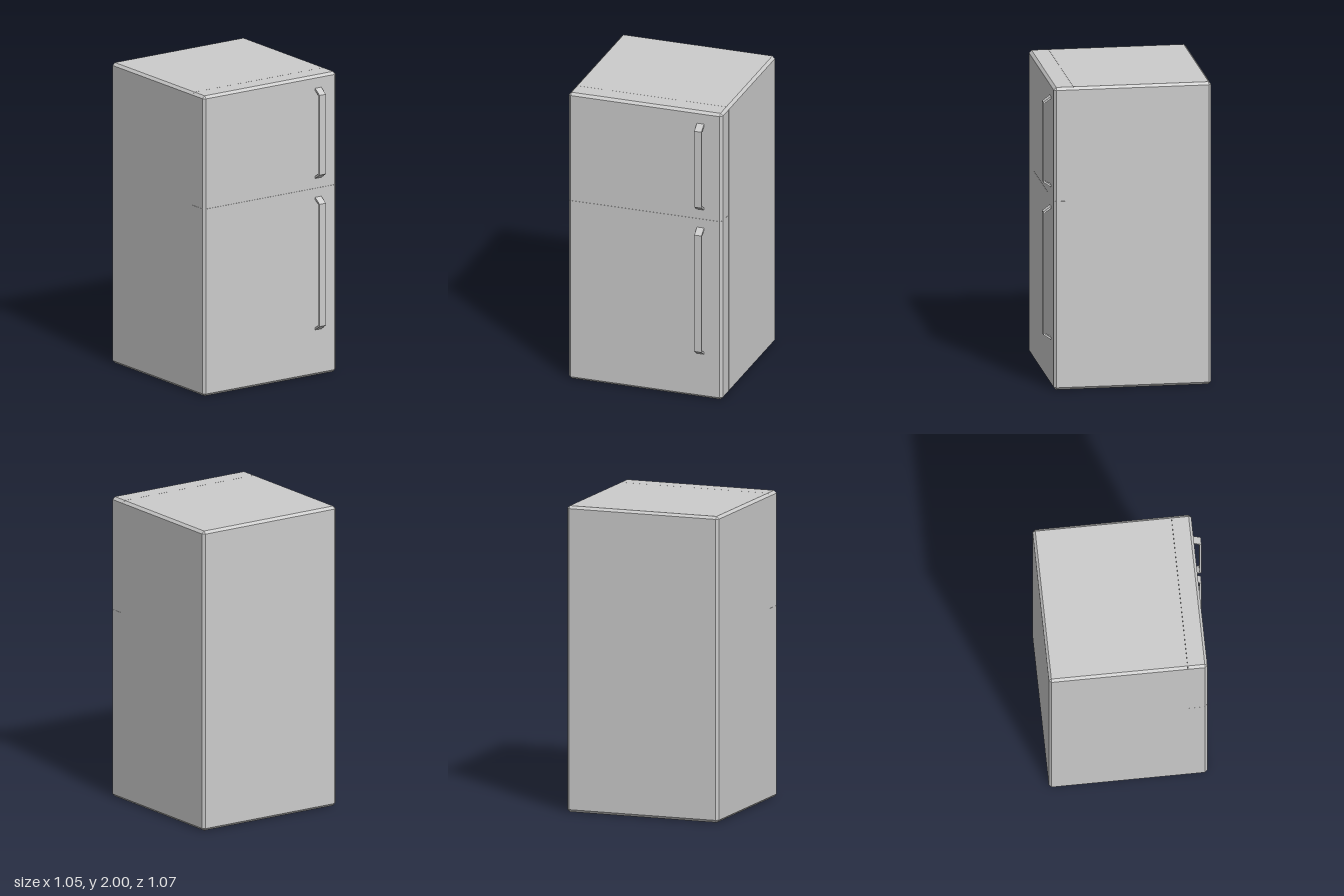
import * as THREE from 'three';
import { ConvexGeometry } from 'three/addons/geometries/ConvexGeometry.js';

const material = new THREE.MeshStandardMaterial({ color: 0xcccccc, flatShading: true });
const HALF_WIDTH = 0.525, BACK = -0.537, FRONT = 0.487, HEIGHT = 2;
const CHAMFER = 0.017, DOOR_BACK = 0.36, SEAM_Y = 1.25, GAP = 0.001;

// Box chamfered only on its outer sides; sides that meet a seam stay square.
function chamferedBox(name, y0, y1, z0, z1) {
  const points = [];
  for (const x of [-HALF_WIDTH, HALF_WIDTH]) for (const y of [y0, y1]) for (const z of [z0, z1]) {
    const ix = x - Math.sign(x) * CHAMFER;
    const iy = y === 0 ? CHAMFER : y === HEIGHT ? HEIGHT - CHAMFER : y;
    const iz = z === BACK ? BACK + CHAMFER : z === FRONT ? FRONT - CHAMFER : z;
    points.push([x, iy, iz], [ix, y, iz], [ix, iy, z]);
  }
  const unique = [...new Map(points.map((p) => [p.join(), new THREE.Vector3(...p)])).values()];
  const mesh = new THREE.Mesh(new ConvexGeometry(unique), material);
  mesh.name = name;
  return mesh;
}

// Flat bar handle with slanted ends, extruded across its width.
function handle(name, bottom, top) {
  const out = FRONT + 0.05, inner = out - 0.011, root = FRONT - 0.001;
  const profile = [
    [root, bottom], [out, bottom + 0.034], [out, top - 0.037], [root, top],
    [root, top - 0.016], [inner, top - 0.044], [inner, bottom + 0.041], [root, bottom + 0.016],
  ];
  const shape = new THREE.Shape(profile.map(([z, y]) => new THREE.Vector2(z, y)));
  const geometry = new THREE.ExtrudeGeometry(shape, { depth: 0.049, bevelEnabled: false });
  geometry.rotateY(-Math.PI / 2).translate(0.402, 0, 0);
  const mesh = new THREE.Mesh(geometry, material);
  mesh.name = name;
  return mesh;
}

export function createModel() {
  const group = new THREE.Group();
  group.name = 'refrigerator';
  group.add(
    // Cabinet and the two doors, separated by hairline seams
    chamferedBox('cabinet', 0, HEIGHT, BACK, DOOR_BACK - GAP),
    chamferedBox('lowerDoor', 0, SEAM_Y - GAP, DOOR_BACK, FRONT),
    chamferedBox('upperDoor', SEAM_Y, HEIGHT, DOOR_BACK, FRONT),
    // Handles
    handle('lowerHandle', 0.305, 1.19),
    handle('upperHandle', 1.314, 1.916),
  );
  return group;
}
